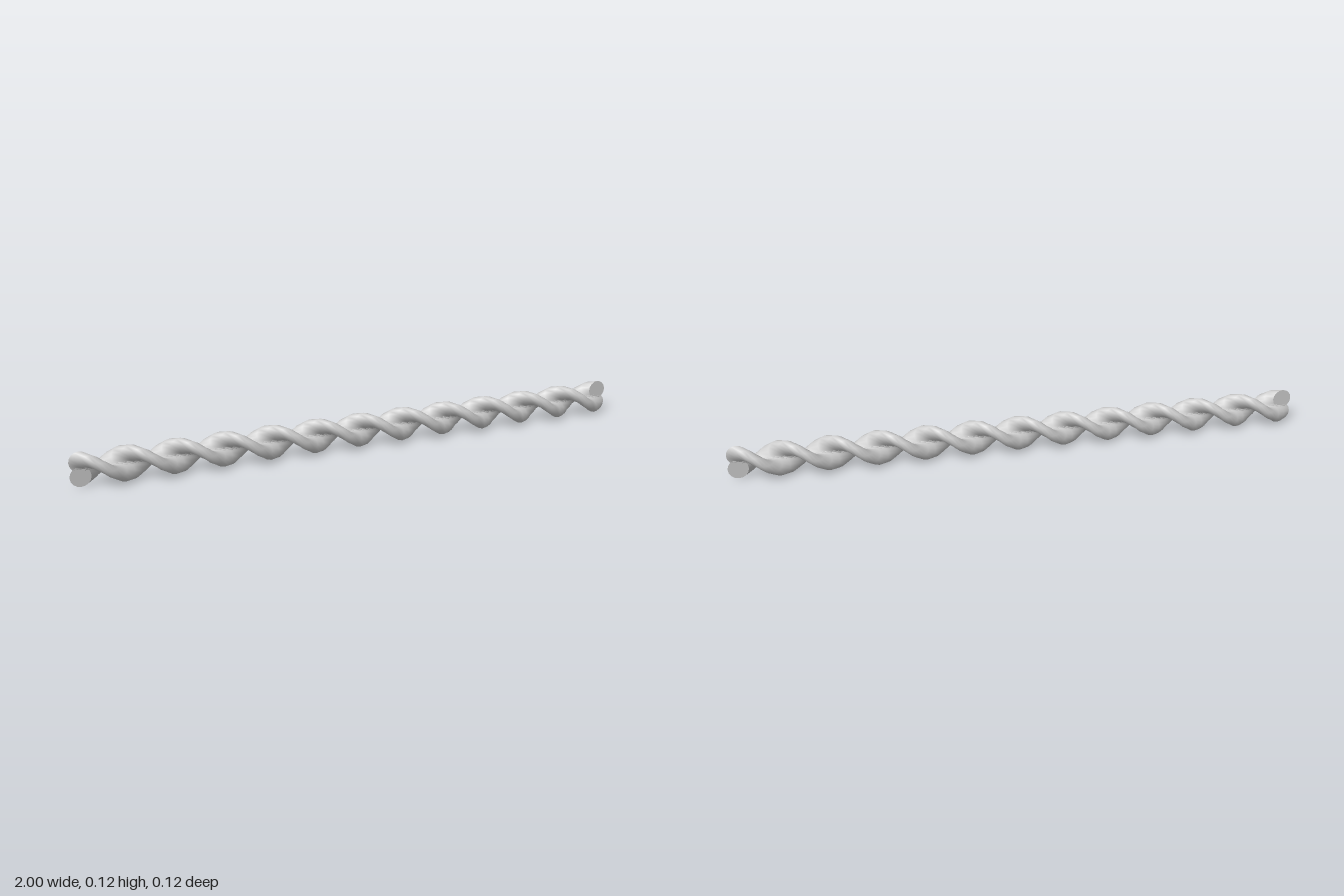
import * as THREE from 'three';

const TURNS = 6;      // full twists along the rope
const STEPS = 12;     // rings per twist
const SIDES = 16;     // sides of a strand
const R = 0.034;      // strand radius
const OFFSET = 0.025; // strand centre to rope axis
const HALF = 1 - R;   // centre of the end rings

// Screw sweep: the ring lies in the plane of the rope axis and the radius
function strandGeometry() {
  const n = TURNS * STEPS;
  const pos = [], index = [];
  for (let i = 0; i <= n; i++) {
    const a = (i / STEPS) * Math.PI * 2;
    const cx = -HALF + (2 * HALF * i) / n;
    for (let j = 0; j < SIDES; j++) {
      const p = (j / SIDES) * Math.PI * 2;
      const r = OFFSET + R * Math.cos(p);
      pos.push(cx + R * Math.sin(p), r * Math.cos(a), r * Math.sin(a));
      if (i < n) {
        const k = (j + 1) % SIDES, b = i * SIDES, c = b + SIDES;
        index.push(b + j, c + j, b + k, c + j, c + k, b + k);
      }
    }
  }
  const g = new THREE.BufferGeometry();
  g.setAttribute('position', new THREE.Float32BufferAttribute(pos, 3));
  g.setIndex(index);
  g.computeVertexNormals();
  return g;
}

export function createModel() {
  const rope = new THREE.Group();
  rope.name = 'twistedRope';
  const mat = new THREE.MeshStandardMaterial({ color: 0xcccccc, side: THREE.DoubleSide });
  const tube = strandGeometry();
  const disc = new THREE.CircleGeometry(R, SIDES);

  // Two equal strands, half a turn apart
  for (let s = 0; s < 2; s++) {
    const strand = new THREE.Group();
    strand.name = s ? 'secondStrand' : 'firstStrand';
    const body = new THREE.Mesh(tube, mat);
    body.name = 'strandBody';
    strand.add(body);
    // Flat caps closing the cut ends
    for (const e of [-1, 1]) {
      const cap = new THREE.Mesh(disc, mat);
      cap.name = 'strandEnd';
      cap.position.set(e * HALF, OFFSET, 0);
      if (e < 0) cap.rotation.y = Math.PI;
      strand.add(cap);
    }
    strand.rotation.x = s * Math.PI;
    strand.position.y = OFFSET + R;
    rope.add(strand);
  }
  return rope;
}
